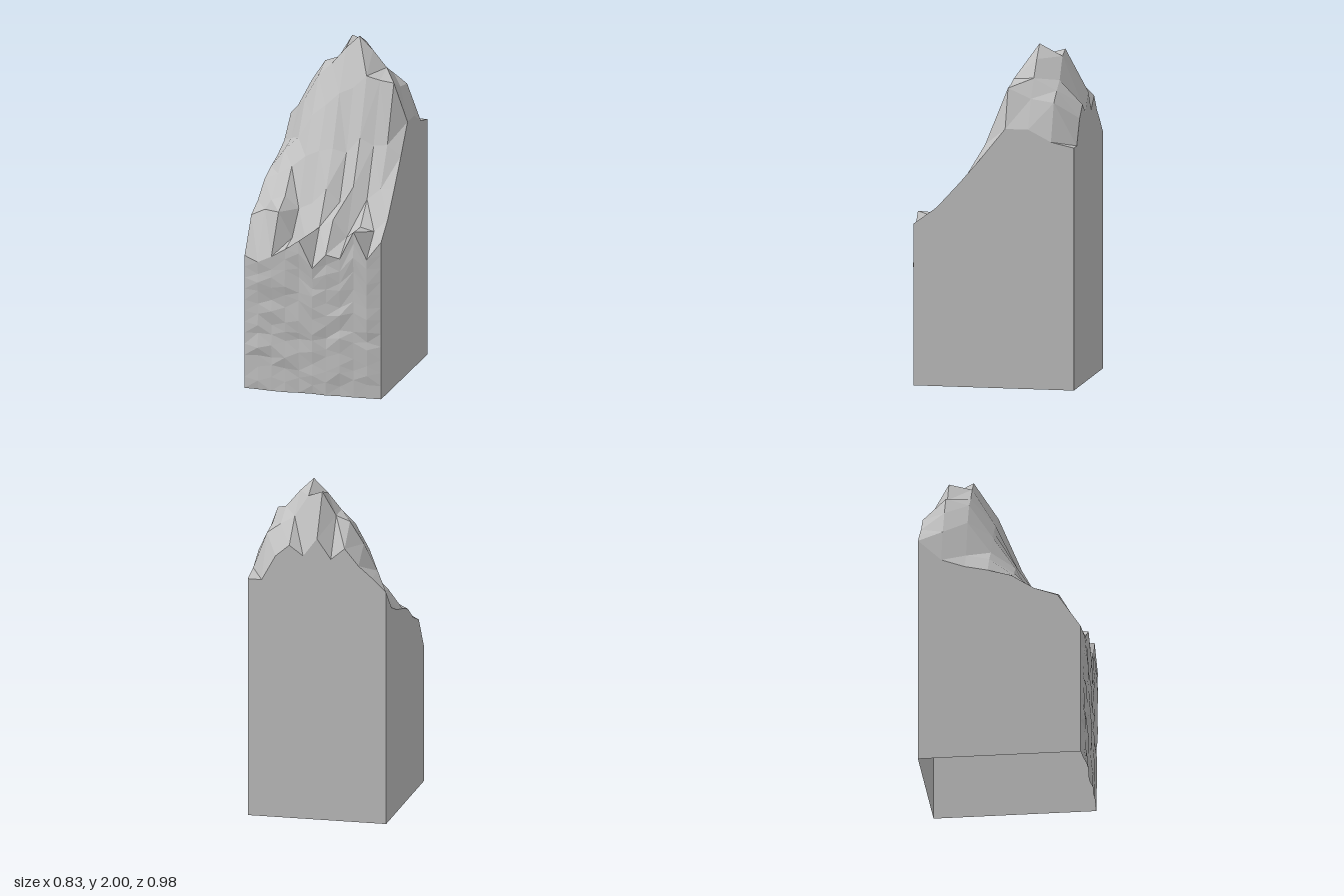
import * as THREE from 'three';

const COLS = 10, ROWS = 7, W = 0.417, BACK = -0.49, FRONT = 0.47, WALL_ROWS = 12;

// terrain heights, one line per depth step from back to front, -x to +x
const heights = [
  [1.41, 1.49, 1.56, 1.66, 1.59, 1.71, 1.60, 1.66, 1.59, 1.44, 1.44],
  [1.28, 1.50, 1.66, 1.79, 1.82, 1.96, 1.93, 1.80, 1.75, 1.69, 1.47],
  [1.23, 1.34, 1.59, 1.74, 1.82, 1.92, 2.00, 1.92, 1.82, 1.71, 1.54],
  [1.20, 1.31, 1.39, 1.53, 1.60, 1.68, 1.72, 1.80, 1.78, 1.77, 1.54],
  [1.16, 1.20, 1.25, 1.32, 1.36, 1.38, 1.36, 1.46, 1.42, 1.43, 1.37],
  [1.07, 1.08, 1.11, 1.04, 1.08, 1.17, 1.10, 1.20, 1.13, 1.20, 1.21],
  [1.02, 1.06, 1.05, 0.90, 0.89, 0.98, 1.03, 0.93, 1.00, 0.98, 1.06],
  [0.81, 0.78, 0.82, 0.87, 0.93, 0.77, 0.86, 0.84, 1.01, 0.85, 0.96],
];

function seeded(seed) {
  return () => {
    seed = (seed * 16807) % 2147483647;
    return seed / 2147483647;
  };
}

const xAt = (c) => -W + (2 * W * c) / COLS;
const zAt = (r) => BACK + ((FRONT - BACK) * r) / ROWS;

// faceted sheet through point(r, c); each cell is split along its shorter diagonal
function sheet(name, rows, cols, point, material) {
  const pos = [];
  const tri = (...pts) => pts.forEach((p) => pos.push(p.x, p.y, p.z));
  for (let r = 0; r < rows; r++) {
    for (let c = 0; c < cols; c++) {
      const a = point(r, c), b = point(r + 1, c);
      const d = point(r + 1, c + 1), e = point(r, c + 1);
      if (a.distanceTo(d) <= b.distanceTo(e)) {
        tri(a, b, d);
        tri(a, d, e);
      } else {
        tri(a, b, e);
        tri(b, d, e);
      }
    }
  }
  const geometry = new THREE.BufferGeometry();
  geometry.setAttribute('position', new THREE.Float32BufferAttribute(pos, 3));
  geometry.computeVertexNormals();
  const mesh = new THREE.Mesh(geometry, material);
  mesh.name = name;
  return mesh;
}

export function createModel() {
  const group = new THREE.Group();
  group.name = 'rockyCliff';
  const stone = new THREE.MeshStandardMaterial({ color: 0xc0c0c0, side: THREE.DoubleSide });
  stone.name = 'grey stone';

  // rough cliff face points, from the rim down to the ground
  const random = seeded(4711);
  const cliff = [];
  for (let r = 0; r <= WALL_ROWS; r++) {
    cliff.push([]);
    for (let c = 0; c <= COLS; c++) {
      const edge = c === 0 || c === COLS;
      const rim = r === 0 || r === WALL_ROWS;
      const dy = (random() - 0.5) * 0.045, dz = 0.004 + random() * 0.016;
      const y = heights[ROWS][c] * (1 - r / WALL_ROWS) + (edge || rim ? 0 : dy);
      cliff[r].push(new THREE.Vector3(xAt(c), y, FRONT + (edge ? 0 : dz)));
    }
  }
  const terrain = (r, c) =>
    r === ROWS ? cliff[0][c] : new THREE.Vector3(xAt(c), heights[r][c], zAt(r));

  // flat cut wall hanging from a terrain edge to the ground
  const cutWall = (name, cols, top) =>
    sheet(name, 1, cols, (r, c) => {
      const p = top(c).clone();
      if (r === 1) p.y = 0;
      return p;
    }, stone);

  group.add(
    sheet('mountainSlope', ROWS, COLS, terrain, stone),
    sheet('cliffFace', WALL_ROWS, COLS, (r, c) => cliff[r][c], stone),
    cutWall('rightWall', ROWS, (c) => terrain(c, 0)),
    cutWall('leftWall', ROWS, (c) => terrain(ROWS - c, COLS)),
    cutWall('backWall', COLS, (c) => terrain(0, COLS - c)),
  );
  return group;
}
